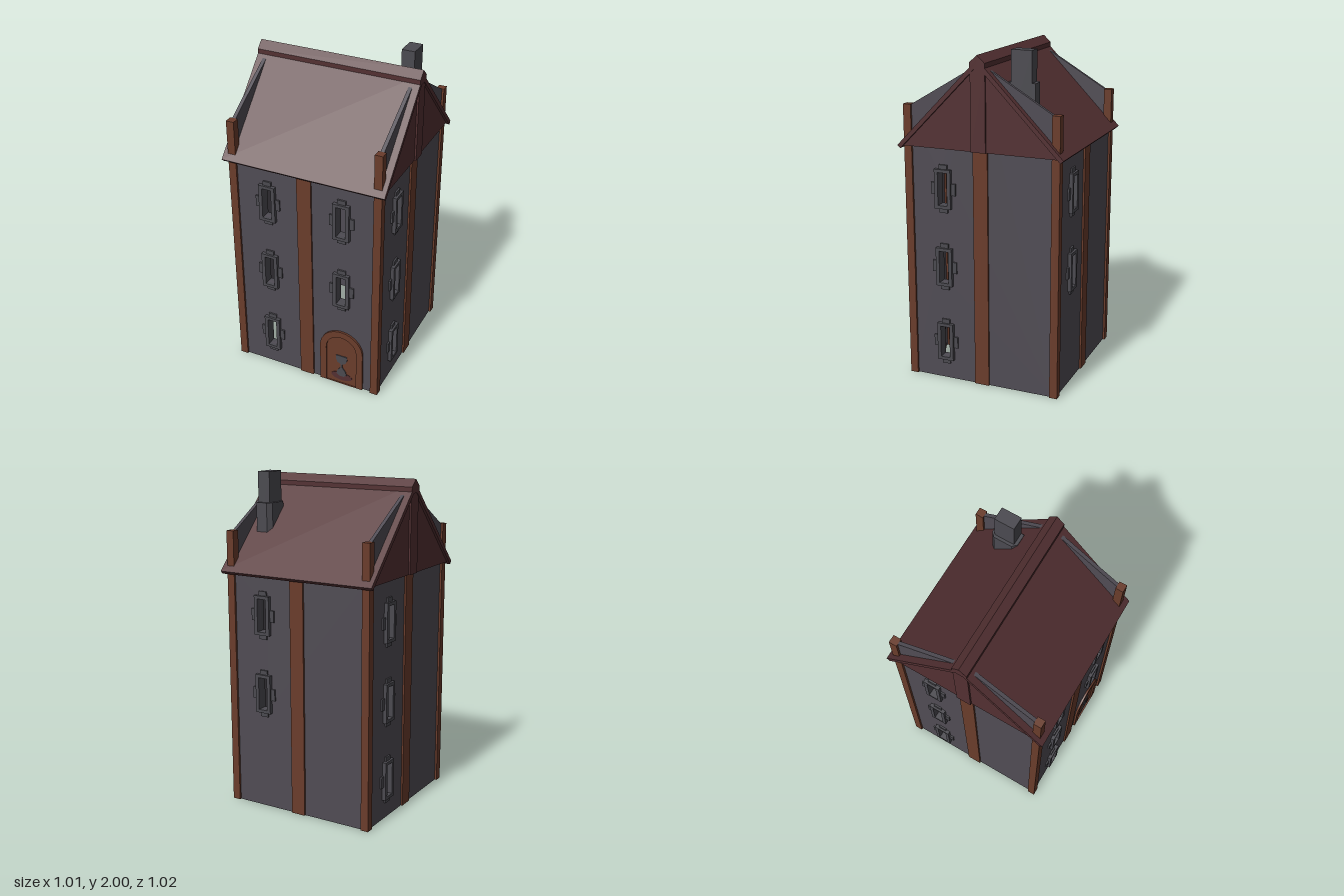
import * as THREE from 'three';

const mat = (name, color) => {
  const m = new THREE.MeshStandardMaterial({ color });
  m.name = name;
  return m;
};

export function createModel() {
  const stone = mat('wall stone', 0x504c54);
  const trim = mat('window and chimney stone', 0x4b4a50);
  const wood = mat('timber', 0x6a3c2b);
  const tile = mat('roof red', 0x533032);

  const model = new THREE.Group();
  model.name = 'towerHouse';

  const add = (parent, name, geo, material, x = 0, y = 0, z = 0) => {
    const mesh = new THREE.Mesh(geo, material);
    mesh.name = name;
    mesh.position.set(x, y, z);
    parent.add(mesh);
    return mesh;
  };
  const box = (parent, name, w, h, d, material, x, y, z) =>
    add(parent, name, new THREE.BoxGeometry(w, h, d), material, x, y, z);
  const poly = (pts) => new THREE.Shape(pts.map(([x, y]) => new THREE.Vector2(x, y)));
  const rect = (x, y, w, h) => poly([
    [x - w / 2, y - h / 2], [x + w / 2, y - h / 2], [x + w / 2, y + h / 2], [x - w / 2, y + h / 2]]);
  const arch = (x, r, spring) => {
    const s = new THREE.Shape();
    s.moveTo(x - r, 0);
    s.lineTo(x + r, 0);
    s.lineTo(x + r, spring);
    s.absarc(x, spring, r, 0, Math.PI, false);
    s.closePath();
    return s;
  };
  const extrude = (shape, depth) =>
    new THREE.ExtrudeGeometry(shape, { depth, bevelEnabled: false, curveSegments: 16 });

  const WALL = 0.454, THICK = 0.022, SIDE = 0.235;
  const LEVELS = [0.24, 0.715, 1.19];
  const OPEN_W = 0.058, OPEN_H = 0.196;

  // Window: hollow frame with a small block on each edge
  const addWindow = (parent, x, y) => {
    const g = new THREE.Group();
    g.name = 'window';
    g.position.set(x, y, WALL);
    const frame = rect(0, 0, 0.102, 0.234);
    frame.holes.push(rect(0, 0, OPEN_W, OPEN_H));
    add(g, 'windowFrame', extrude(frame, 0.066), trim, 0, 0, -0.033);
    for (const s of [-1, 1]) {
      box(g, 'windowSideBlock', 0.026, 0.07, 0.042, trim, s * 0.064, 0, 0);
      box(g, 'windowEndBlock', 0.052, 0.026, 0.042, trim, 0, s * 0.13, 0);
    }
    parent.add(g);
  };

  // Four walls, each with its openings and centre post
  const flat = [[-0.455, 0], [0.455, 0], [0.455, 1.46], [-0.455, 1.46]];
  const gabled = [[-0.455, 0], [0.455, 0], [0.455, 1.655], [0, 1.925], [-0.455, 1.655]];
  const left = (levels) => levels.map((y) => [-SIDE, y]);
  const upper = LEVELS.slice(1);
  const sides = [
    ['frontWall', 0, flat, [...left(LEVELS), ...upper.map((y) => [SIDE, y])]],
    ['leftWall', Math.PI / 2, gabled, left(LEVELS)],
    ['backWall', Math.PI, flat, left(upper)],
    ['rightWall', -Math.PI / 2, gabled, left(LEVELS)],
  ];
  for (const [name, angle, outline, windows] of sides) {
    const g = new THREE.Group();
    g.name = name;
    g.rotation.y = angle;
    const shape = poly(outline);
    for (const [x, y] of windows) {
      shape.holes.push(rect(x, y, OPEN_W, OPEN_H));
      addWindow(g, x, y);
    }
    add(g, 'wallPanel', extrude(shape, THICK), stone, 0, 0, WALL - THICK / 2);
    box(g, 'centrePost', 0.09, 1.43, 0.044, wood, 0, 0.715, WALL);
    model.add(g);
  }

  // Corner posts
  for (const x of [-WALL, WALL])
    for (const z of [-WALL, WALL])
      box(model, 'cornerPost', 0.048, 1.67, 0.048, wood, x, 0.835, z);

  // Arched door with surround and cup emblem
  const door = new THREE.Group();
  door.name = 'door';
  const surround = arch(SIDE, 0.142, 0.262);
  surround.holes.push(arch(SIDE, 0.1, 0.262));
  add(door, 'doorSurround', extrude(surround, 0.048), wood, 0, 0, 0.43);
  add(door, 'doorPanel', extrude(arch(SIDE, 0.102, 0.262), 0.03), wood, 0, 0, 0.438);
  const disc = new THREE.Shape();
  disc.absellipse(SIDE, 0.052, 0.07, 0.03, 0, Math.PI * 2, false, 0);
  add(door, 'emblemBase', extrude(disc, 0.003), tile, 0, 0, 0.467);
  const cup = poly([[-0.014, 0.055], [0.014, 0.055], [0.033, 0.07], [0.028, 0.095], [0.006, 0.125],
    [0.006, 0.15], [0.028, 0.165], [0.038, 0.19], [0.036, 0.215],
    [-0.036, 0.215], [-0.038, 0.19], [-0.028, 0.165], [-0.006, 0.15],
    [-0.006, 0.125], [-0.028, 0.095], [-0.033, 0.07]]);
  add(door, 'emblemCup', extrude(cup, 0.006), trim, SIDE, 0, 0.467);
  model.add(door);

  // Roof, built as cross-sections running along x
  const roof = new THREE.Group();
  roof.name = 'roof';
  roof.rotation.y = Math.PI / 2;
  const slab = poly([[0.508, 1.432], [0, 1.952], [-0.508, 1.432], [-0.49, 1.415], [0, 1.916], [0.49, 1.415]]);
  add(roof, 'roofSlopes', extrude(slab, 1.01), tile, 0, 0, -0.505);
  const cap = poly([[-0.046, 1.895], [0.046, 1.895], [0.046, 1.932], [0, 1.975], [-0.046, 1.932]]);
  add(roof, 'ridgeCap', extrude(cap, 1.01), tile, 0, 0, -0.505);
  const gable = poly([[-0.485, 1.43], [0.485, 1.43], [0, 1.925]]);
  for (const s of [-1, 1]) {
    add(roof, 'gablePanel', extrude(gable, 0.022), tile, 0, 0, s * 0.478 - 0.011);
    box(roof, 'gablePost', 0.09, 0.47, 0.03, tile, 0, 1.665, s * 0.485);
  }
  model.add(roof);

  // Chimney with a chamfered foot
  const chimney = new THREE.Group();
  chimney.name = 'chimney';
  box(chimney, 'chimneyStack', 0.08, 0.4, 0.122, trim, 0.35, 1.8, -0.215);
  const foot = poly([[0.39, 0.135], [0.39, 0.297], [0.318, 0.297], [0.293, 0.272], [0.293, 0.16], [0.318, 0.135]]);
  const footMesh = add(chimney, 'chimneyFoot', extrude(foot, 0.2), trim, 0, 1.62, 0);
  footMesh.rotation.x = -Math.PI / 2;
  model.add(chimney);

  return model;
}
